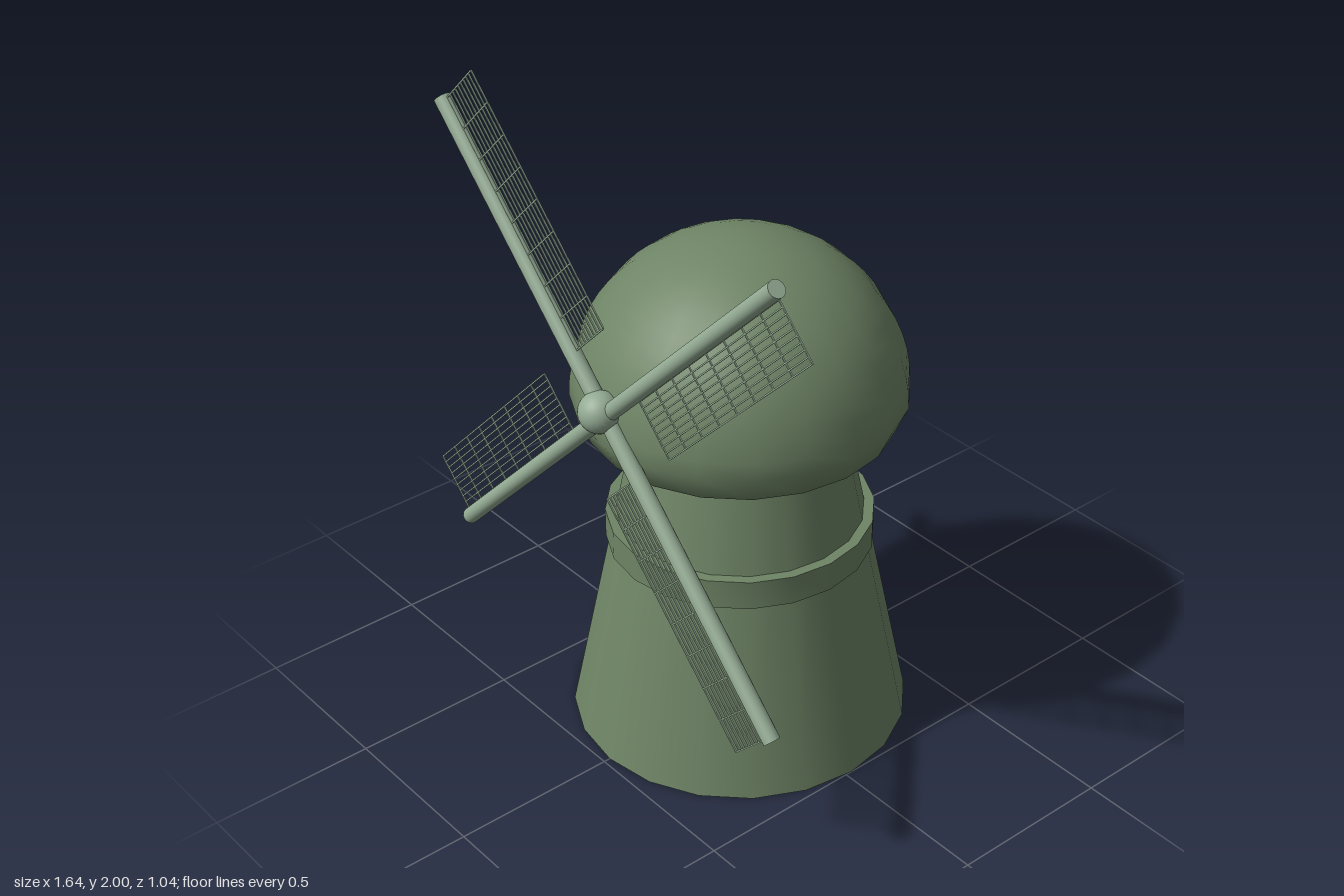
import * as THREE from 'three';
import { toCreasedNormals } from 'three/addons/utils/BufferGeometryUtils.js';

const SIDES = 20;
const AXIS_Z = -0.02; // tower axis
const HUB_Y = 1.18, SAIL_Z = 0.455;

const green = new THREE.MeshStandardMaterial({ color: 0x6f8566 });
const paleGreen = new THREE.MeshStandardMaterial({ color: 0x94ab94 });

function add(parent, name, geometry, material, x = 0, y = 0, z = 0) {
  const mesh = new THREE.Mesh(geometry, material);
  mesh.name = name;
  mesh.position.set(x, y, z);
  parent.add(mesh);
  return mesh;
}

function lathe(points, crease) {
  const geometry = new THREE.LatheGeometry(points.map(([r, y]) => new THREE.Vector2(r, y)), SIDES);
  return toCreasedNormals(geometry, crease);
}

// One sail pointing along +y, with its lattice on the +x side
function createSail() {
  const sail = new THREE.Group();
  const length = 0.975;
  add(sail, 'spar', new THREE.CylinderGeometry(0.025, 0.025, length, 16), paleGreen, 0, length / 2);

  const inner = 0.19, outer = 0.963, width = 0.196, bar = 0.004;
  const slats = 10, rungs = 9;
  const lattice = new THREE.Group();
  lattice.name = 'lattice';
  sail.add(lattice);
  const slat = new THREE.BoxGeometry(bar, outer - inner, bar);
  for (let i = 0; i < slats; i++) {
    const x = 0.024 + (width - 0.024) * i / (slats - 1);
    add(lattice, 'slat', slat, paleGreen, x, (inner + outer) / 2);
  }
  const rung = new THREE.BoxGeometry(width, bar, bar);
  for (let i = 0; i < rungs; i++) {
    const y = inner + (outer - inner) * i / (rungs - 1);
    add(lattice, 'rung', rung, paleGreen, width / 2, y);
  }
  return sail;
}

export function createModel() {
  const model = new THREE.Group();
  model.name = 'windmill';

  // Tapered tower
  add(model, 'tower', new THREE.CylinderGeometry(0.31, 0.5, 0.93, SIDES), green, 0, 0.465, AXIS_Z);

  // Band around the tower
  const band = [[0.365, 0.595], [0.39, 0.595], [0.39, 0.685], [0.35, 0.685], [0.365, 0.595]];
  add(model, 'band', lathe(band, 0.6), green, 0, 0, AXIS_Z);

  // Domed cap with an undercut rim
  const cap = [[0, 0.93], [0.31, 0.93], [0.445, 1.0]];
  const steps = 14;
  for (let i = 0; i <= steps; i++) {
    const a = (i / steps) * Math.PI / 2;
    cap.push([i === steps ? 0 : 0.48 * Math.cos(a), 1.08 + 0.47 * Math.sin(a)]);
  }
  add(model, 'cap', lathe(cap, 1.0), green, 0, 0, AXIS_Z);

  // Hub and four sails
  add(model, 'hub', new THREE.SphereGeometry(0.06, 24, 16), paleGreen, -0.015, 1.188, 0.463);
  const sails = new THREE.Group();
  sails.name = 'sails';
  sails.position.set(0, HUB_Y, SAIL_Z);
  for (let i = 0; i < 4; i++) {
    const sail = createSail();
    sail.name = 'sail';
    sail.rotation.z = Math.PI / 4 + i * Math.PI / 2;
    sails.add(sail);
  }
  model.add(sails);
  return model;
}
